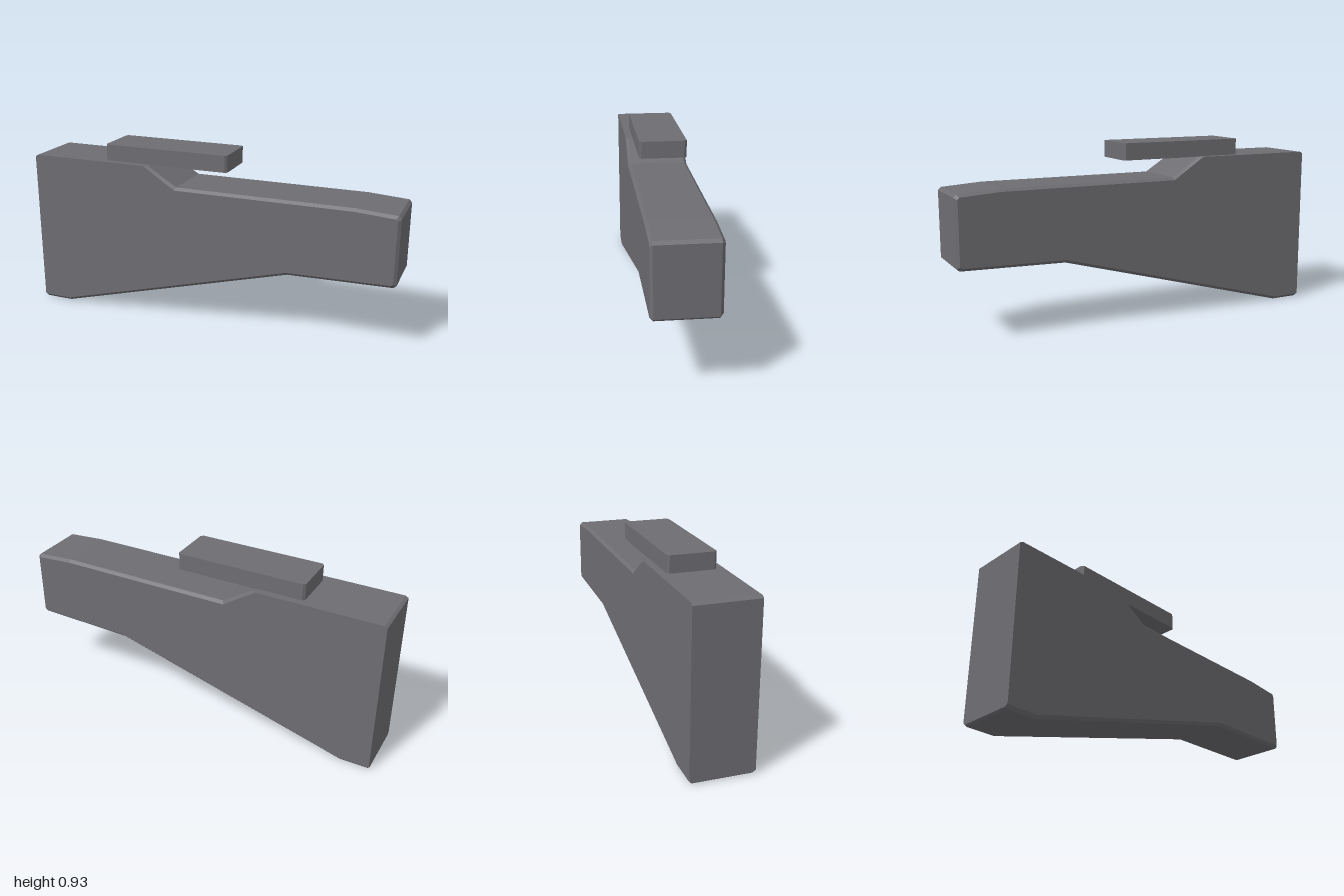
import * as THREE from 'three';

const HALF = 0.16;      // half thickness of the body
const BEVEL_Z = 0.145;  // where the edge chamfer starts

// Body profile, counter-clockwise: [outer x, outer y, side-face x, side-face y]
// Rear and upper rear edges stay sharp; the others are chamfered.
const PROFILE = [
  [-1, 0.008, -1, 0.018],
  [-0.99, 0, -0.99, 0.015],
  [-0.84, 0, -0.842, 0.015],
  [0.45, 0.352, 0.448, 0.367],
  [0.985, 0.365, 0.976, 0.38],
  [1, 0.378, 0.985, 0.388],
  [1, 0.716, 0.985, 0.707],
  [0.986, 0.731, 0.977, 0.717],
  [0.78, 0.745, 0.78, 0.731],
  [-0.16, 0.745, -0.167, 0.731],
  [-0.32, 0.845, -0.342, 0.845],
  [-0.985, 0.845, -0.985, 0.845],
  [-1, 0.835, -1, 0.835],
];

// Joins the outline rings across z and caps both sides
function chamferedSlab(profile) {
  const outer = profile.map(([x, y]) => new THREE.Vector2(x, y));
  const inner = profile.map((p) => new THREE.Vector2(p[2], p[3]));
  const rings = [[inner, -HALF], [outer, -BEVEL_Z], [outer, BEVEL_Z], [inner, HALF]];
  const positions = [];
  const put = (r, i) => positions.push(rings[r][0][i].x, rings[r][0][i].y, rings[r][1]);
  const n = profile.length;
  for (let r = 0; r < 3; r++) {
    for (let i = 0; i < n; i++) {
      const j = (i + 1) % n;
      put(r, i); put(r, j); put(r + 1, j);
      put(r, i); put(r + 1, j); put(r + 1, i);
    }
  }
  for (const [a, b, c] of THREE.ShapeUtils.triangulateShape(inner, [])) {
    put(3, a); put(3, b); put(3, c);
    put(0, a); put(0, c); put(0, b);
  }
  const geometry = new THREE.BufferGeometry();
  geometry.setAttribute('position', new THREE.Float32BufferAttribute(positions, 3));
  geometry.computeVertexNormals();
  return geometry;
}

// Flat block whose four upright edges are cut off
function cutCornerBlock(width, height, depth, cut) {
  const w = width / 2, d = depth / 2;
  const shape = new THREE.Shape([
    [-w + cut, -d], [w - cut, -d], [w, -d + cut], [w, d - cut],
    [w - cut, d], [-w + cut, d], [-w, d - cut], [-w, -d + cut],
  ].map(([x, y]) => new THREE.Vector2(x, y)));
  return new THREE.ExtrudeGeometry(shape, { depth: height, bevelEnabled: false })
    .rotateX(-Math.PI / 2);
}

export function createModel() {
  const group = new THREE.Group();
  group.name = 'shoulderStock';
  const grey = new THREE.MeshStandardMaterial({ color: 0x6e6d72, flatShading: true });
  grey.name = 'dark grey';

  // Tapered main body
  const body = new THREE.Mesh(chamferedSlab(PROFILE), grey);
  body.name = 'stockBody';
  group.add(body);

  // Raised rest overhanging the step
  const rest = new THREE.Mesh(cutCornerBlock(0.69, 0.088, 0.244, 0.012), grey);
  rest.name = 'cheekRest';
  rest.position.set(-0.235, 0.843, 0);
  group.add(rest);

  return group;
}
